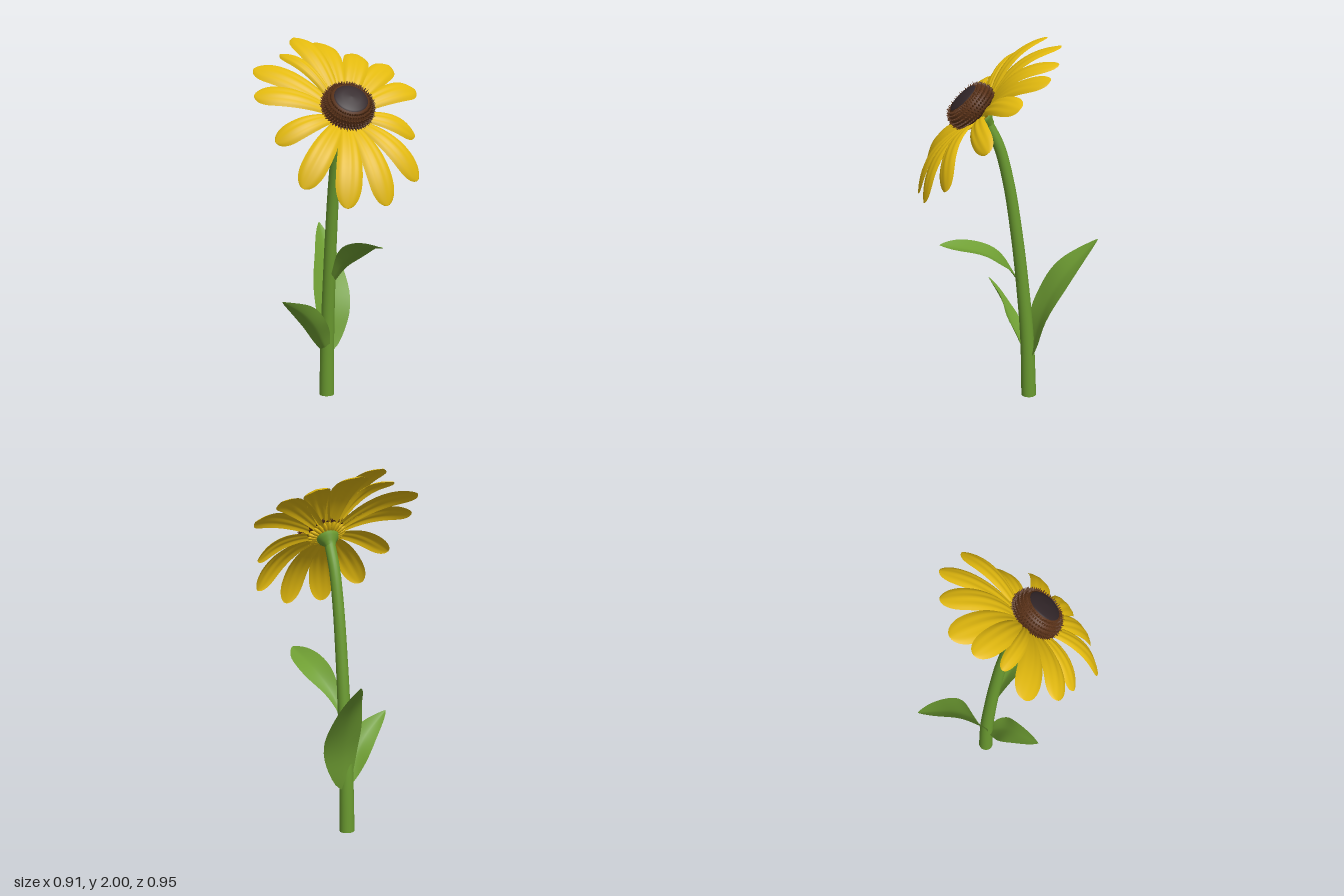
import * as THREE from 'three';
import { mergeGeometries } from 'three/addons/utils/BufferGeometryUtils.js';

const V = (x, y, z) => new THREE.Vector3(x, y, z);
const paint = (name, color, side = THREE.FrontSide) => {
  const m = new THREE.MeshStandardMaterial({ color, side });
  m.name = name;
  return m;
};

// Curved sheet swept along a curve: outline(t) scales its half width, relief(u, t) lifts it
function blade(curve, halfWidth, widthDir, outline, relief, rows = 20, cols = 14) {
  const pos = [], index = [], side = widthDir.clone().normalize();
  for (let i = 0; i <= rows; i++) {
    const t = Math.sin((i / rows) * Math.PI / 2);
    const p = curve.getPoint(t), tan = curve.getTangent(t);
    const normal = tan.clone().cross(side).normalize();
    for (let j = 0; j <= cols; j++) {
      const u = (j / cols) * 2 - 1;
      const q = p.clone()
        .addScaledVector(side, u * halfWidth * outline(t))
        .addScaledVector(normal, relief(u, t) * outline(t));
      pos.push(q.x, q.y, q.z);
      if (i < rows && j < cols) {
        const a = i * (cols + 1) + j, b = a + cols + 1;
        index.push(a, a + 1, b, a + 1, b + 1, b);
      }
    }
  }
  const g = new THREE.BufferGeometry();
  g.setAttribute('position', new THREE.Float32BufferAttribute(pos, 3));
  g.setIndex(index);
  g.computeVertexNormals();
  return g;
}

// Petal: narrow foot, broad blunt tip, shallow lengthwise grooves
const petalOutline = t => t < 0.7
  ? 0.42 + 0.58 * Math.sin((t / 0.7) * Math.PI / 2)
  : Math.sqrt(Math.max(0, 1 - ((t - 0.7) / 0.3) ** 2.6));
const petalRelief = (u, t) => -0.016 * u * u + 0.003 * Math.cos(u * Math.PI * 3) * (1 - t * t);

// Leaf: pointed tip, folded along the midrib; a larger peak puts the widest part nearer the tip
const leafOutline = peak => t =>
  Math.max(0, Math.sin(Math.PI * Math.min(1, t ** peak))) ** 0.8 + 0.25 * (1 - t) ** 2;
const leafRelief = (u, t) => -0.022 * Math.abs(u) ** 1.4 + 0.006 * Math.sin(t * 11) * u;

export function createModel() {
  const model = new THREE.Group();
  const petalMat = paint('petal yellow', 0xe2b90e, THREE.DoubleSide);
  const greenMat = paint('stem green', 0x6a9a30);
  const leafMat = paint('leaf green', 0x6f9e33, THREE.DoubleSide);
  const fringeMat = paint('floret brown', 0x5a3218);
  const capMat = paint('cone dark brown', 0x33272a);
  const add = (parent, name, geometry, material) => {
    const mesh = new THREE.Mesh(geometry, material);
    mesh.name = name;
    parent.add(mesh);
    return mesh;
  };

  const center = V(0, 1.61, 0.15);
  const axis = V(0, 0.72, 0.69).normalize();

  // Stem: tapered tube that bends forward under the flower
  const stemCurve = new THREE.CatmullRomCurve3([
    V(0, 0, -0.118), V(0, 0.35, -0.106), V(0, 0.7, -0.075), V(0, 0.95, -0.046),
    V(0, 1.23, -0.003), V(0, 1.44, 0.05), V(0, 1.575, 0.117),
  ]);
  const rows = 48, sides = 20;
  const stem = new THREE.TubeGeometry(stemCurve, rows, 1, sides);
  const sp = stem.attributes.position, v = V(0, 0, 0);
  for (let i = 0; i < sp.count; i++) {
    const t = Math.floor(i / (sides + 1)) / rows;
    const c = stemCurve.getPointAt(t);
    v.fromBufferAttribute(sp, i).sub(c).multiplyScalar(0.03 + 0.012 * (1 - t) ** 1.5).add(c);
    sp.setXYZ(i, v.x, Math.max(0, v.y), v.z);
  }
  add(model, 'stem', stem, greenMat);
  const foot = add(model, 'stemFoot', new THREE.CircleGeometry(0.042, sides), greenMat);
  foot.rotation.x = Math.PI / 2;
  foot.position.set(0, 0.001, -0.118);

  // Leaves: path, half width, width direction, peak
  const leaves = [
    ['backLeaf', [V(0.015, 0.26, -0.13), V(0.045, 0.49, -0.18), V(0.07, 0.71, -0.295), V(0.09, 0.92, -0.48)], 0.112, V(1, -0.45, -0.05), 0.95],
    ['frontLeaf', [V(0.01, 0.67, -0.06), V(0.045, 0.79, 0.03), V(0.09, 0.885, 0.17), V(0.11, 0.945, 0.395)], 0.078, V(-1, 0.3, 0), 1.7],
    ['sideLeaf', [V(-0.01, 0.26, -0.09), V(-0.075, 0.38, -0.045), V(-0.165, 0.5, -0.005), V(-0.315, 0.61, 0.05)], 0.07, V(-0.6, -0.5, -0.6), 1.05],
  ];
  for (const [name, path, half, dir, peak] of leaves) {
    add(model, name, blade(new THREE.CatmullRomCurve3(path), half, dir, leafOutline(peak), leafRelief, 24), leafMat);
  }

  // Petals: tip x, y, z and half width
  const tips = [
    [0.0, 1.965, -0.285, 0.079], [0.215, 1.9, -0.22, 0.072], [0.375, 1.84, -0.135, 0.068],
    [0.455, 1.72, 0.035, 0.068], [0.39, 1.49, 0.185, 0.062], [0.315, 1.285, 0.39, 0.068],
    [0.11, 1.18, 0.474, 0.07], [-0.11, 1.18, 0.474, 0.07], [-0.315, 1.28, 0.39, 0.068],
    [-0.39, 1.49, 0.185, 0.062], [-0.455, 1.72, 0.035, 0.068], [-0.405, 1.845, -0.125, 0.073],
    [-0.25, 1.915, -0.15, 0.042], [-0.145, 1.995, -0.24, 0.066],
  ];
  const petals = new THREE.Group();
  petals.name = 'petals';
  model.add(petals);
  for (const [x, y, z, half] of tips) {
    const tip = V(x, y, z);
    const radial = tip.clone().sub(center).projectOnPlane(axis).normalize();
    const base = center.clone().addScaledVector(radial, 0.06).addScaledVector(axis, 0.01);
    const bend = base.clone().lerp(tip, 0.58).addScaledVector(axis, y > 1.86 || y < 1.35 ? 0.15 : 0.11);
    const curve = new THREE.QuadraticBezierCurve3(base, bend, tip);
    add(petals, 'petal', blade(curve, half, axis.clone().cross(radial), petalOutline, petalRelief), petalMat);
  }

  // Flower head, its own y axis pointing out of the flower
  const head = new THREE.Group();
  head.name = 'flowerHead';
  head.position.copy(center);
  head.quaternion.setFromUnitVectors(V(0, 1, 0), axis);
  model.add(head);
  const lathe = (name, points, material) =>
    add(head, name, new THREE.LatheGeometry(points.map(p => new THREE.Vector2(...p)), 40), material);
  lathe('receptacle', [[0.028, -0.075], [0.036, -0.055], [0.055, -0.035], [0.062, -0.015], [0.05, 0.005], [0, 0.01]], greenMat);
  lathe('coneBase', [[0, 0.015], [0.1, 0.02], [0.128, 0.045], [0.132, 0.08], [0.118, 0.115], [0.09, 0.133]], fringeMat);
  lathe('coneCap', [[0.092, 0.13], [0.084, 0.139], [0.05, 0.147], [0, 0.15]], capMat);

  // Brown florets ringed around the cone, leaning from outward to upward
  const florets = [];
  const rings = [[0.122, 0.04, 0], [0.13, 0.06, 0.15], [0.13, 0.08, 0.4], [0.124, 0.1, 0.65], [0.113, 0.117, 0.85], [0.1, 0.129, 1.1]];
  rings.forEach(([r, h, lift], k) => {
    for (let i = 0; i < 52; i++) {
      const g = new THREE.ConeGeometry(0.009, 0.026 + 0.008 * Math.sin(i * 2.4 + k), 5);
      g.rotateZ(lift - Math.PI / 2);
      g.translate(r + 0.006, h, 0);
      g.rotateY(((i + (k % 2) / 2) / 52) * Math.PI * 2);
      florets.push(g);
    }
  });
  add(head, 'florets', mergeGeometries(florets), fringeMat);

  // Small yellow bracts around the receptacle, under the petals
  const bracts = [];
  for (let i = 0; i < 22; i++) {
    const g = new THREE.SphereGeometry(1, 8, 6);
    g.scale(0.032, 0.009, 0.011);
    g.rotateZ(0.35);
    g.translate(0.08, -0.002, 0);
    g.rotateY((i / 22) * Math.PI * 2);
    bracts.push(g);
  }
  add(head, 'bracts', mergeGeometries(bracts), petalMat);

  return model;
}
